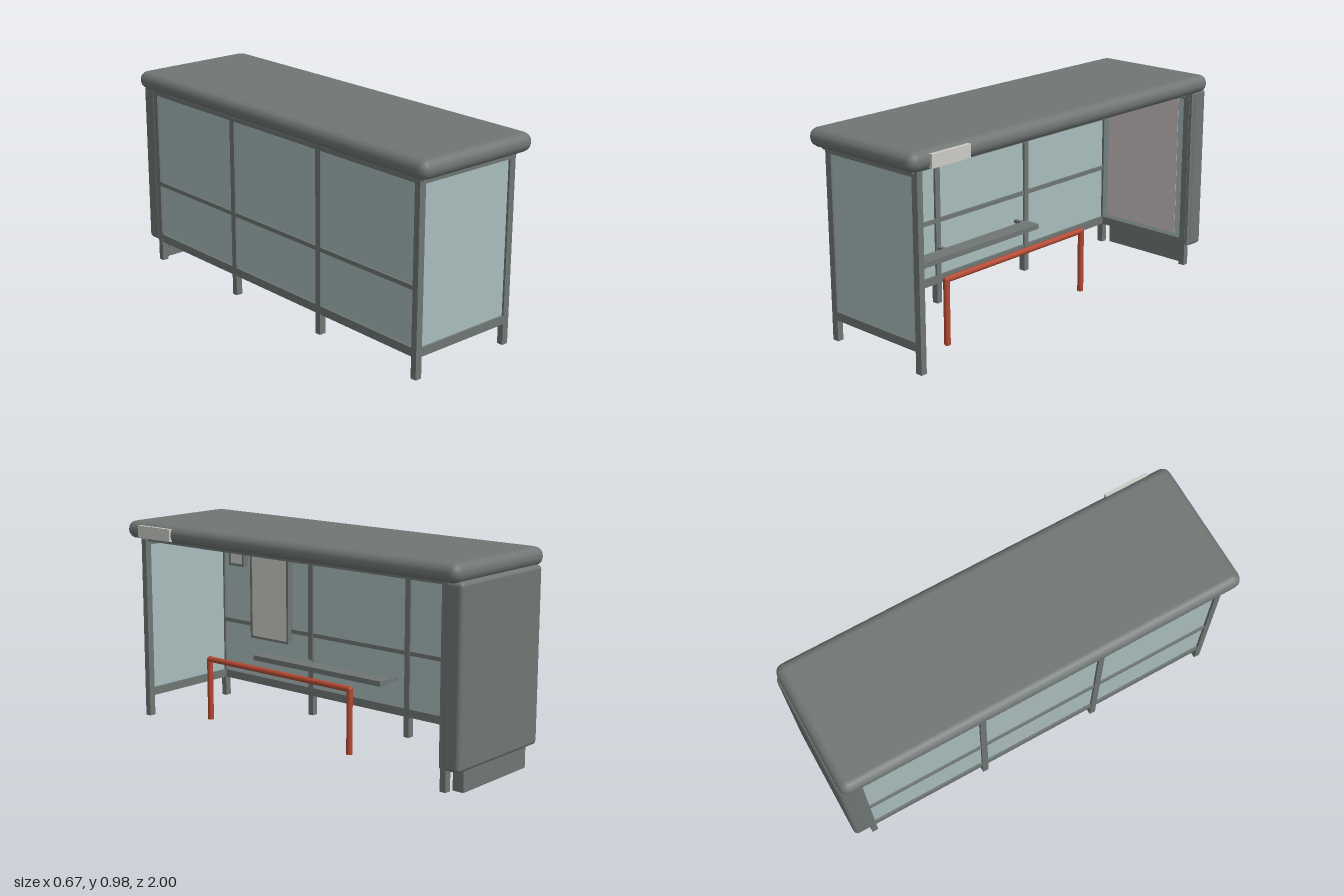
import * as THREE from 'three';
import { RoundedBoxGeometry } from 'three/addons/geometries/RoundedBoxGeometry.js';

const mat = (color) => new THREE.MeshStandardMaterial({ color });

export function createModel() {
  const model = new THREE.Group();
  model.name = 'busShelter';
  const metal = mat(0x6f7673), glass = mat(0xa9bcbc), paper = mat(0xcccbc6);
  const poster = mat(0xcbc2c2), red = mat(0xb54a33);

  const add = (name, geometry, material) => {
    const mesh = new THREE.Mesh(geometry, material);
    mesh.name = name;
    model.add(mesh);
    return mesh;
  };
  // Boxes given by their limits: [min, max] on each axis
  const size = (r) => r[1] - r[0];
  const mid = (r) => (r[0] + r[1]) / 2;
  const box = (name, x, y, z, material = metal, radius = 0, segments = 2) => {
    const dims = [size(x), size(y), size(z)];
    const geometry = radius
      ? new RoundedBoxGeometry(...dims, segments, radius)
      : new THREE.BoxGeometry(...dims);
    const mesh = add(name, geometry, material);
    mesh.position.set(mid(x), mid(y), mid(z));
    return mesh;
  };
  const around = (c, w) => [c - w / 2, c + w / 2];

  // Roof with rounded rim, ceiling slab and lights
  box('roof', [-0.333, 0.325], [0.893, 0.98], [-0.99, 1], metal, 0.042);
  box('ceiling', [-0.287, 0.267], [0.88, 0.9], [-0.9, 0.95]);
  for (const z of [0.62, 0, -0.6]) {
    box('ceilingLight', around(0, 0.14), [0.873, 0.882], around(z, 0.2), paper);
  }
  box('roofSign', [0.315, 0.333], [0.905, 0.965], [0.68, 0.9], paper);

  // Posts: four along the back, one at each front corner
  const stations = [0.92, 0.31, -0.295, -0.905];
  const backX = -0.273, frontX = 0.264, postW = 0.033, postD = 0.03;
  const post = (x, z) => box('post', around(x, postW), [0, 0.89], around(z, postD));
  stations.forEach((z) => post(backX, z));
  post(frontX, stations[0]);
  post(frontX, stations[3]);

  // Back wall bays: three rails and two panes each
  const rails = [[0.1, 0.14], [0.4, 0.42], [0.865, 0.885]];
  for (let i = 0; i < 3; i++) {
    const z = [stations[i + 1] + postD / 2, stations[i] - postD / 2];
    rails.forEach((y) => box('backRail', around(backX, 0.03), y, z));
    for (let j = 0; j < 2; j++) {
      box('backPane', around(backX, 0.01), [rails[j][1], rails[j + 1][0]], z, glass);
    }
  }

  // End walls
  for (const z of [stations[0], stations[3]]) {
    const x = [backX + postW / 2, frontX - postW / 2];
    box('endRail', x, [0.1, 0.14], around(z, 0.03));
    box('endRail', x, [0.862, 0.882], around(z, 0.03));
    box('endPane', x, [0.14, 0.862], around(z, 0.01), glass);
  }

  // Display cabinet on the far end with its plinth and inner poster
  box('displayCabinet', [-0.292, 0.3], [0.1, 0.905], [-1, -0.908], metal, 0.02);
  box('cabinetFlange', [-0.285, 0.293], [0.107, 0.895], [-0.915, -0.893]).visible = true;
  box('cabinetPlinth', [-0.233, 0.232], [0, 0.11], [-0.977, -0.922]);
  box('endPoster', [-0.225, 0.215], [0.16, 0.855], [-0.9, -0.89], poster);
  // Glass face in front of the cabinet flange
  box('cabinetGlass', [backX + postW / 2, frontX - postW / 2], [0.14, 0.862], [-0.9, -0.892], glass);

  // Framed notices on the inside of the back wall
  const notice = (name, y, z) => {
    const t = 0.012;
    const depth = [-0.268, -0.235];
    box(name + 'Backing', [-0.268, -0.24], y, z);
    box(name + 'Sheet', [-0.245, -0.238], [y[0] + t, y[1] - t], [z[0] + t, z[1] - t], paper);
    for (const k of [0, 1]) {
      const s = k ? -t : t;
      box(name + 'Frame', depth, [y[k], y[k] + s].sort((a, b) => a - b), z);
      box(name + 'Frame', depth, y, [z[k], z[k] + s].sort((a, b) => a - b));
    }
  };
  notice('timetable', [0.345, 0.815], [0.44, 0.7]);
  notice('smallNotice', [0.705, 0.84], [0.745, 0.85]);

  // Perch bench on short arms
  box('bench', [-0.208, -0.125], [0.264, 0.289], [-0.24, 0.575]);
  for (const z of [0.31, -0.225]) {
    box('benchArm', [-0.27, -0.2], [0.268, 0.284], around(z, 0.02));
  }

  // Red leaning rail
  const r = 0.0145, railX = 0.125, railY = 0.306, ends = [0.632, -0.265];
  for (const z of ends) {
    add('railUpright', new THREE.CylinderGeometry(r, r, railY, 8), red).position.set(railX, railY / 2, z);
    add('railCorner', new THREE.SphereGeometry(r, 8, 6), red).position.set(railX, railY, z);
  }
  const bar = add('railBar', new THREE.CylinderGeometry(r, r, ends[0] - ends[1], 8), red);
  bar.rotation.x = Math.PI / 2;
  bar.position.set(railX, railY, mid(ends));

  return model;
}
